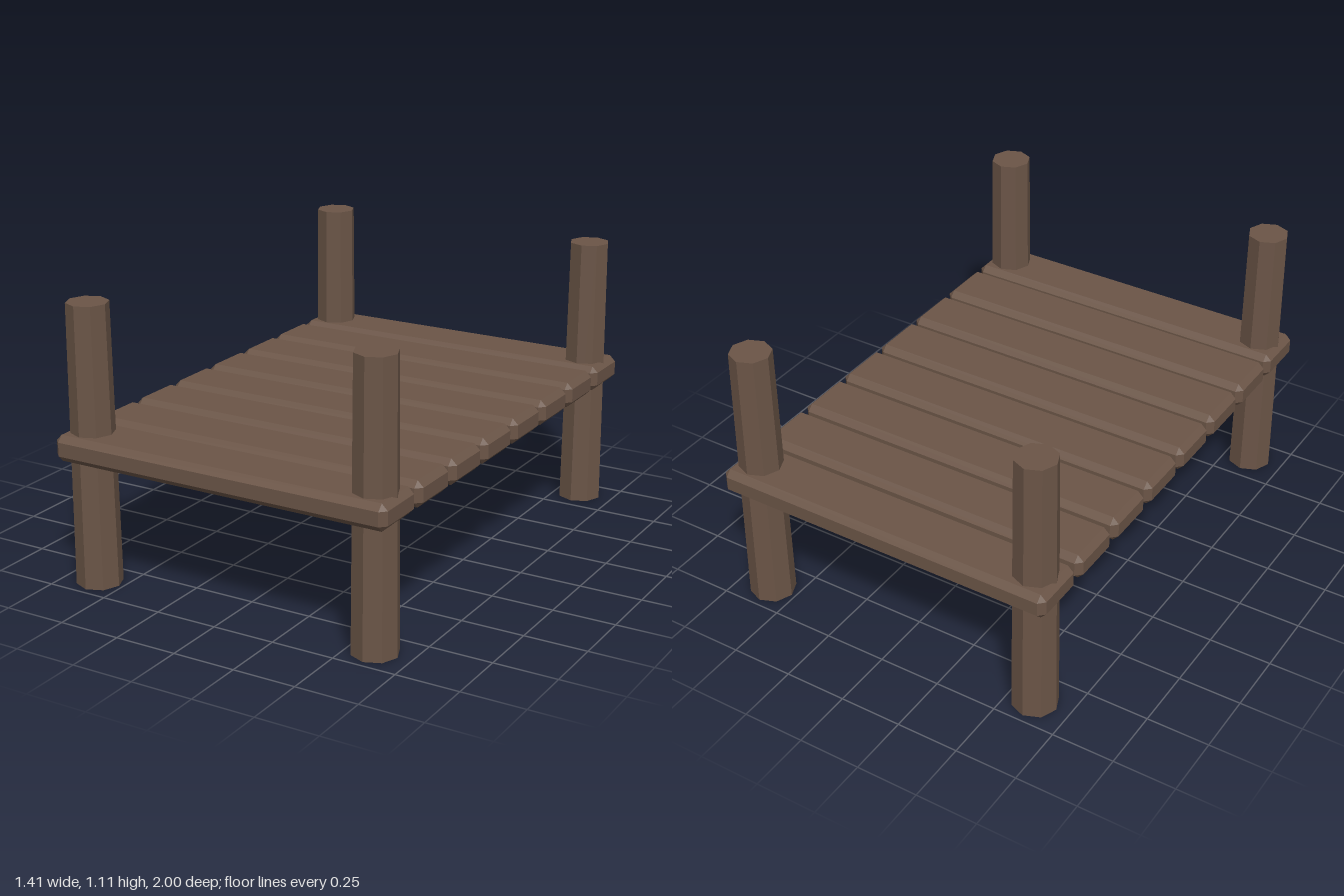
import * as THREE from 'three';
import { ConvexGeometry } from 'three/addons/geometries/ConvexGeometry.js';

const wood = new THREE.MeshStandardMaterial({ color: 0x6b5547, flatShading: true });

// Box with every edge and corner chamfered by b
function chamferedBox(w, h, d, b) {
  const [x, y, z] = [w / 2, h / 2, d / 2];
  const points = [];
  for (const sx of [-1, 1]) for (const sy of [-1, 1]) for (const sz of [-1, 1]) {
    points.push(
      new THREE.Vector3(sx * x, sy * (y - b), sz * (z - b)),
      new THREE.Vector3(sx * (x - b), sy * y, sz * (z - b)),
      new THREE.Vector3(sx * (x - b), sy * (y - b), sz * z),
    );
  }
  return new ConvexGeometry(points);
}

export function createModel() {
  const model = new THREE.Group();
  model.name = 'dock';

  const add = (name, geometry, x, y, z) => {
    const mesh = new THREE.Mesh(geometry, wood);
    mesh.name = name;
    mesh.position.set(x, y, z);
    model.add(mesh);
  };

  // Deck: eight spaced planks
  const count = 8, plankDepth = 0.232, edge = 1 - plankDepth / 2;
  const plank = chamferedBox(1.41, 0.103, plankDepth, 0.024);
  for (let i = 0; i < count; i++) {
    add(`plank${i + 1}`, plank, 0, 0.558, -edge + (2 * edge * i) / (count - 1));
  }

  // Four tapered octagonal posts through the end planks
  const height = 1.11;
  const post = new THREE.CylinderGeometry(0.081, 0.09, height, 8);
  for (const [sideName, sx] of [['Left', 1], ['Right', -1]]) {
    for (const [endName, sz] of [['front', 1], ['back', -1]]) {
      add(`${endName}${sideName}Post`, post, sx * 0.606, height / 2, sz * edge);
    }
  }
  return model;
}
